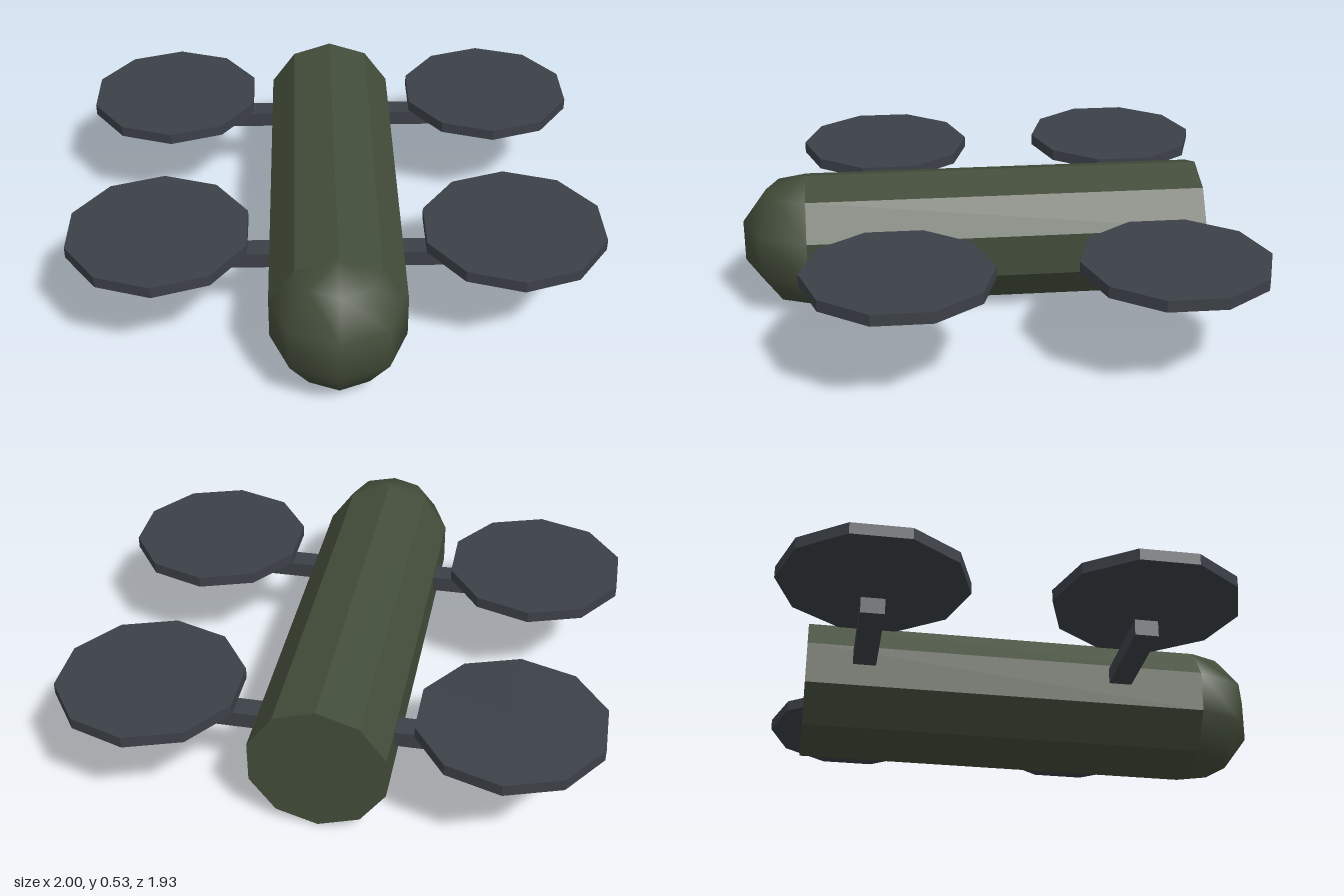
import * as THREE from 'three';

export function createModel() {
  const model = new THREE.Group();
  const hullGreen = new THREE.MeshStandardMaterial({ name: 'hullGreen', color: 0x434d3a });
  const hullFacets = hullGreen.clone();
  hullFacets.flatShading = true;
  const rotorGrey = new THREE.MeshStandardMaterial({ name: 'rotorGrey', color: 0x3c4148, flatShading: true });

  const add = (name, geometry, material, x, y, z) => {
    const mesh = new THREE.Mesh(geometry, material);
    mesh.name = name;
    mesh.position.set(x, y, z);
    model.add(mesh);
    return mesh;
  };

  const R = 0.265, noseZ = 0.715, tailZ = -0.835;

  // Ten-sided hull lying along z
  const hull = new THREE.CylinderGeometry(R, R, noseZ - tailZ, 10);
  hull.rotateX(Math.PI / 2);
  add('hull', hull, hullFacets, 0, R, (noseZ + tailZ) / 2);

  // Smooth rounded nose, front half only
  add('nose', new THREE.SphereGeometry(R, 4, 5, 0, Math.PI), hullGreen, 0, R, noseZ);

  // Cross arms, each carrying a rotor disc at both ends
  const arm = new THREE.BoxGeometry(1.325, 0.062, 0.088);
  const disc = new THREE.CylinderGeometry(0.351, 0.351, 0.044, 10);
  for (const [end, z] of [['front', 0.383], ['rear', -0.616]]) {
    add(`${end}Arm`, arm, rotorGrey, 0, 0.302, z);
    for (const [side, s] of [['Left', 1], ['Right', -1]]) {
      add(`${end}${side}Rotor`, disc, rotorGrey, s * 0.666, 0.403, z);
    }
  }
  return model;
}
